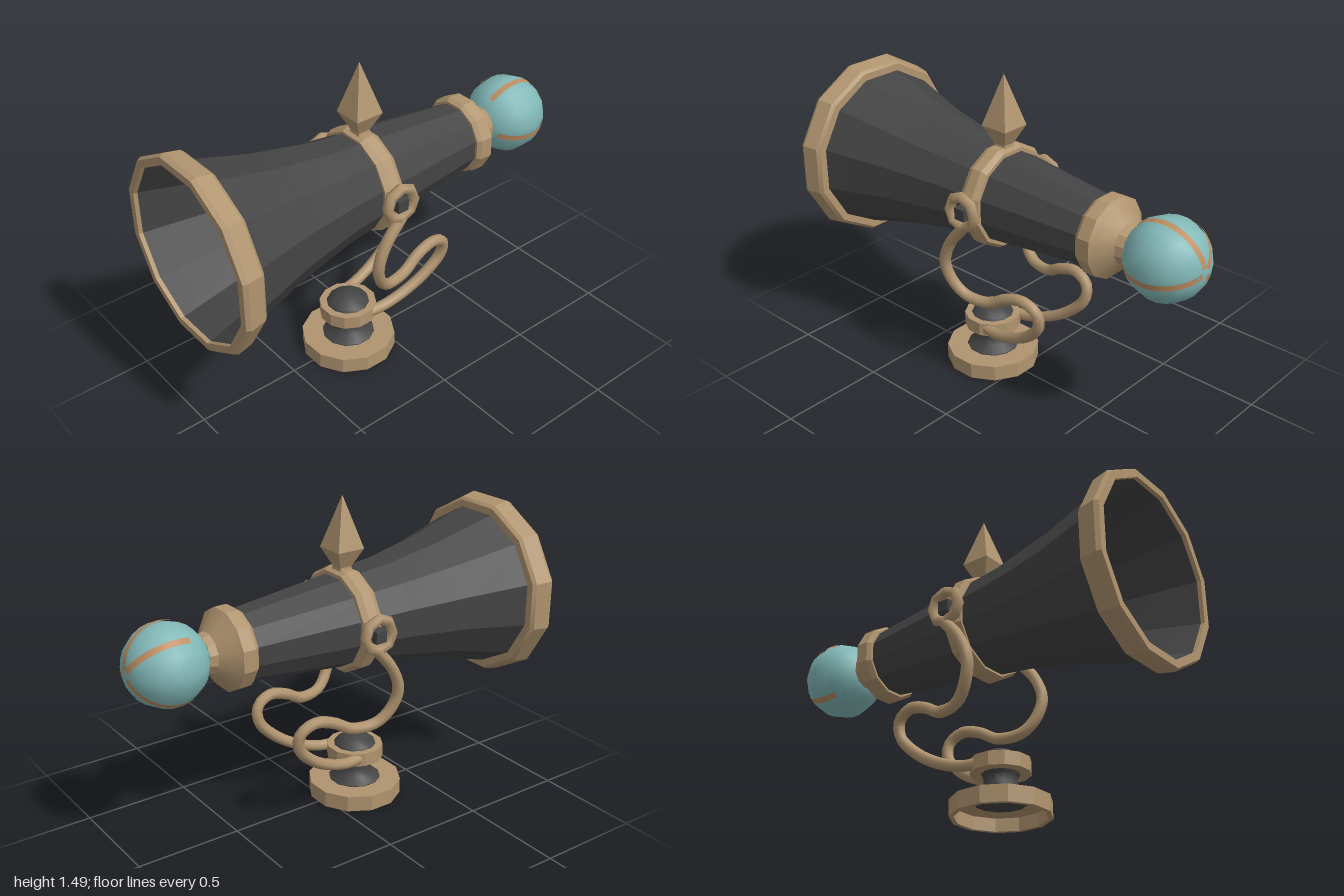
import * as THREE from 'three';
import { toCreasedNormals } from 'three/addons/utils/BufferGeometryUtils.js';

const AXIS_Y = 0.913;   // height of the horn's axis
const BASE_Z = 0.173;   // centre of the stand
const SIDES = 12;

export function createModel() {
  const model = new THREE.Group();
  model.name = 'mountedHorn';
  const mat = (name, color) => {
    const m = new THREE.MeshStandardMaterial({ color });
    m.name = name;
    return m;
  };
  const brass = mat('brass', 0xb0946f);
  const iron = mat('darkIron', 0x444444);
  const teal = mat('teal', 0x82b9b8);
  const copper = mat('copper', 0xbd8c60);
  copper.side = THREE.DoubleSide;

  const add = (name, geometry, material, parent = model) => {
    const mesh = new THREE.Mesh(geometry, material);
    mesh.name = name;
    parent.add(mesh);
    return mesh;
  };

  // Twelve-sided turned part; profile is [flat-to-centre radius, height]
  const turned = (profile, crease = 0.4) => {
    const k = 1 / Math.cos(Math.PI / SIDES);
    const pts = profile.map(([r, y]) => new THREE.Vector2(r * k, y));
    return toCreasedNormals(new THREE.LatheGeometry(pts, SIDES, Math.PI / SIDES), crease);
  };
  const onAxis = (name, profile, material) => {
    const mesh = add(name, turned(profile).rotateX(Math.PI / 2), material);
    mesh.position.y = AXIS_Y;
    return mesh;
  };
  const onStand = (name, profile, material, crease) => {
    const mesh = add(name, turned(profile, crease), material);
    mesh.position.z = BASE_Z;
    return mesh;
  };

  // Horn: outer wall, inner wall and the plug seen down the mouth
  onAxis('hornBarrel', [[0.155, -0.48], [0.236, 0.3], [0.293, 0.6], [0.38, 0.92]], iron);
  onAxis('hornInside', [[0.388, 0.98], [0.282, 0.6], [0.228, 0.3], [0.21, 0.12], [0, 0.12]], iron);
  onAxis('mouthRim', [[0.37, 0.89], [0.405, 0.89], [0.418, 0.905], [0.432, 0.98],
    [0.422, 1], [0.388, 1], [0.388, 0.95]], brass);
  onAxis('middleBand', [[0.205, 0.04], [0.226, 0.04], [0.242, 0.065], [0.242, 0.115],
    [0.23, 0.14], [0.205, 0.14]], brass);
  onAxis('rearCollar', [[0, -0.65], [0.085, -0.65], [0.095, -0.615], [0.168, -0.555], [0.181, -0.545],
    [0.181, -0.485], [0.168, -0.465], [0.14, -0.465]], brass);

  // Ball with stripes spreading from its rear pole
  const ball = new THREE.Group();
  ball.name = 'rearBall';
  ball.position.set(0, AXIS_Y, -0.815);
  model.add(ball);
  add('ball', new THREE.SphereGeometry(0.186, 12, 13).rotateX(Math.PI / 2), teal, ball);
  const stripe = (degrees, reach) => {
    const a = THREE.MathUtils.degToRad(degrees);
    const pos = [], index = [], steps = 14;
    for (let i = 0; i <= steps; i++) {
      const t = 0.12 + (THREE.MathUtils.degToRad(reach) - 0.12) * i / steps;
      for (const w of [-0.075, 0.075]) {
        const p = new THREE.Vector3(
          Math.sin(t) * Math.cos(a) - w * Math.sin(a),
          Math.sin(t) * Math.sin(a) + w * Math.cos(a),
          -Math.cos(t)).setLength(0.1865);
        pos.push(p.x, p.y, p.z);
      }
      if (i < steps) {
        const n = i * 2;
        index.push(n, n + 2, n + 1, n + 1, n + 2, n + 3);
      }
    }
    const g = new THREE.BufferGeometry();
    g.setAttribute('position', new THREE.Float32BufferAttribute(pos, 3));
    g.setIndex(index);
    g.computeVertexNormals();
    return g;
  };
  [[-14, 145], [77, 135], [131, 108], [228, 110]].forEach(([angle, reach]) =>
    add('ballStripe', stripe(angle, reach), copper, ball));

  // Four-sided finial on the middle band
  const finialProfile = [[0.035, 1.13], [0.03, 1.165], [0.07, 1.25], [0, 1.49]]
    .map(([r, y]) => new THREE.Vector2(r * Math.SQRT2, y));
  add('finial', toCreasedNormals(
    new THREE.LatheGeometry(finialProfile, 4, Math.PI / 4), 0.3), brass).position.z = 0.09;

  // Curled arms, mirrored on both sides
  const armPath = [
    [0.275, 0.85, 0.08], [0.275, 0.74, 0.17], [0.272, 0.63, 0.21], [0.255, 0.535, 0.185],
    [0.23, 0.468, 0.12], [0.205, 0.462, 0], [0.192, 0.51, -0.09], [0.185, 0.535, -0.19],
    [0.175, 0.495, -0.262], [0.163, 0.42, -0.262], [0.146, 0.33, -0.18],
    [0.128, 0.265, -0.07], [0.112, 0.23, 0.04], [0.1, 0.225, 0.12],
  ];
  for (const s of [1, -1]) {
    const arm = new THREE.Group();
    arm.name = s > 0 ? 'leftArm' : 'rightArm';
    model.add(arm);
    const curve = new THREE.CatmullRomCurve3(
      armPath.map(([x, y, z]) => new THREE.Vector3(s * x, y, z)));
    add('armRod', new THREE.TubeGeometry(curve, 48, 0.027, 8), brass, arm);
    const eye = add('armEye', new THREE.TorusGeometry(0.074, 0.026, 6, 8).rotateY(Math.PI / 2), brass, arm);
    eye.position.set(s * 0.275, 0.92, 0.09);
    const pin = add('pivotPin', new THREE.BoxGeometry(0.09, 0.056, 0.056), iron, arm);
    pin.position.set(s * 0.25, 0.915, 0.09);
  }

  // Stand: hollow foot, waisted post, collar and domed cap
  onStand('foot', [[0.11, 0.06], [0.195, 0.06], [0.195, 0], [0.215, 0],
    [0.215, 0.076], [0.1, 0.076]], brass);
  onStand('post', [[0, 0.062], [0.12, 0.062], [0.12, 0.08], [0.085, 0.108], [0.072, 0.14],
    [0.072, 0.175], [0.09, 0.205]], iron, 0.7);
  onStand('standCollar', [[0.07, 0.192], [0.13, 0.192], [0.13, 0.256], [0.09, 0.256]], brass);
  onStand('cap', [[0.1, 0.25], [0.092, 0.268], [0.05, 0.295], [0, 0.305]], iron, 0.7);

  return model;
}
